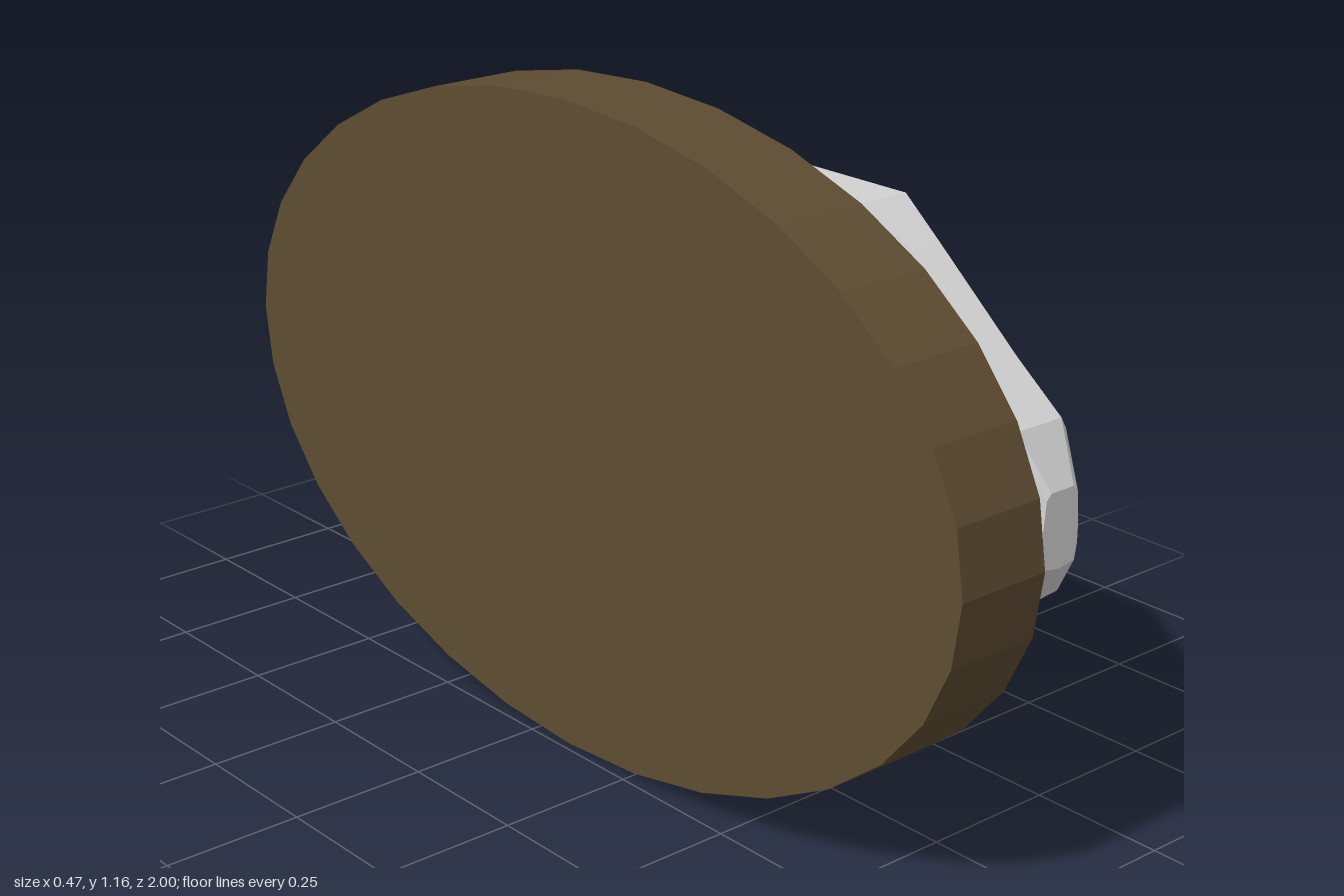
import * as THREE from 'three';

const CX = 0.04; // symmetry plane of the fish

// Body sections: z, top y, top half width, shoulder half width, shoulder y, flank half width, belly edge y, bottom y
const SECTIONS = [
  [0.943, 0.67, 0.025, 0.035, 0.66, 0.04, 0.545, 0.54],
  [0.89, 0.76, 0.05, 0.062, 0.74, 0.068, 0.468, 0.462],
  [0.78, 0.833, 0.06, 0.092, 0.795, 0.11, 0.42, 0.385],
  [0.59, 0.96, 0.088, 0.128, 0.9, 0.152, 0.305, 0.27],
  [0.49, 1.02, 0.107, 0.132, 0.92, 0.16, 0.305, 0.27],
  [0.06, 1.02, 0.107, 0.132, 0.92, 0.162, 0.305, 0.27],
  [-0.05, 0.955, 0.06, 0.126, 0.905, 0.158, 0.308, 0.272],
  [-0.33, 0.857, 0.035, 0.095, 0.83, 0.118, 0.38, 0.36],
  [-0.65, 0.735, 0.025, 0.048, 0.72, 0.06, 0.495, 0.485],
  [-0.75, 0.765, 0.025, 0.045, 0.755, 0.06, 0.455, 0.445],
  [-0.83, 0.8, 0.012, 0.022, 0.79, 0.032, 0.42, 0.41],
  [-1, 0.88, 0, 0, 0.84, 0, 0.4, 0.37],
];

// Skin the sections from nose to tail
function bodyGeometry() {
  const verts = [], index = [];
  for (const [z, top, topW, shoulderW, shoulderY, flankW, bellyY, bottom] of SECTIONS) {
    const flankY = (t) => THREE.MathUtils.lerp(bellyY, shoulderY, t);
    const side = [
      [topW, top], [shoulderW, shoulderY], [flankW, flankY(0.56)],
      [flankW, flankY(0.25)], [shoulderW, bellyY],
    ];
    const mirrored = side.map(([w, y]) => [-w, y]).reverse();
    for (const [w, y] of [[0, top], ...side, [0, bottom], ...mirrored]) {
      // The rear edge of the tail curves forward at its tips
      const bend = z === -1 ? 0.065 * ((y - 0.62) / 0.255) ** 2 : 0;
      verts.push(CX + w, y, z + bend);
    }
  }
  const n = 12; // points in each section
  for (let k = 0; k < SECTIONS.length - 1; k++) {
    for (let i = 0; i < n; i++) {
      const a = k * n + i, b = k * n + (i + 1) % n;
      index.push(a, b, a + n, b, b + n, a + n);
    }
  }
  // Close the nose
  for (let i = 1; i < n - 1; i++) index.push(0, i + 1, i);
  const geometry = new THREE.BufferGeometry();
  geometry.setAttribute('position', new THREE.Float32BufferAttribute(verts, 3));
  geometry.setIndex(index);
  geometry.computeVertexNormals();
  return geometry;
}

export function createModel() {
  const group = new THREE.Group();
  const wood = new THREE.MeshStandardMaterial({ name: 'darkWood', color: 0x5e4c32, flatShading: true });
  const silver = new THREE.MeshStandardMaterial({ name: 'silverGrey', color: 0xd2d2d2, flatShading: true });

  function add(name, geometry, material) {
    const mesh = new THREE.Mesh(geometry, material);
    mesh.name = name;
    group.add(mesh);
    return mesh;
  }

  // Stepped oval wooden plaque
  function oval(name, x0, x1, ry, rz) {
    const g = new THREE.CylinderGeometry(1, 1, x1 - x0, 32);
    g.rotateZ(Math.PI / 2);
    g.scale(1, ry, rz);
    add(name, g, wood).position.set((x0 + x1) / 2, 0.58, 0.085);
  }
  oval('plaqueBase', -0.235, -0.057, 0.58, 0.915);
  oval('plaqueStep', -0.06, -0.005, 0.523, 0.825);

  add('fishBodyAndTail', bodyGeometry(), silver);

  // Thin side fin flaring out and down from the flank
  const fin = new THREE.BufferGeometry();
  fin.setAttribute('position', new THREE.Float32BufferAttribute([
    0.2, 0.45, 0.57, 0.232, 0.36, 0.43, 0.232, 0.36, 0.03, 0.2, 0.45, -0.05,
  ], 3));
  fin.setIndex([0, 1, 2, 0, 2, 3]);
  fin.computeVertexNormals();
  add('sideFin', fin, silver);

  // Small fin under the rear of the belly
  const outline = [[0.3, 0.42], [0.325, 0.36], [0.38, 0.32], [0.5, 0.385], [0.52, 0.44], [0.46, 0.5]];
  const lower = new THREE.ExtrudeGeometry(
    new THREE.Shape(outline.map(([u, y]) => new THREE.Vector2(u, y))),
    { depth: 0.09, bevelEnabled: false });
  lower.rotateY(Math.PI / 2);
  add('lowerFin', lower, silver).position.x = CX - 0.045;

  return group;
}
